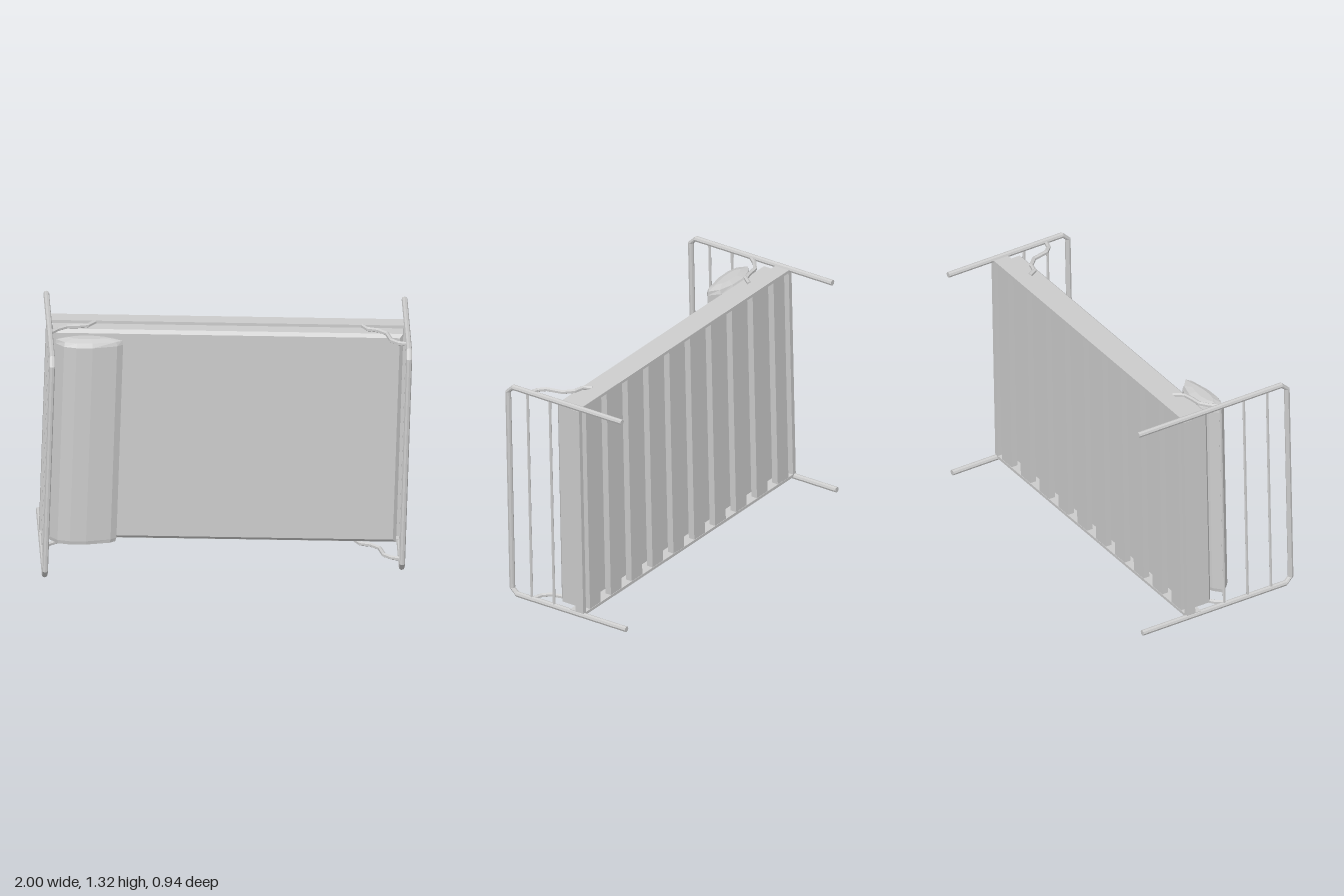
import * as THREE from 'three';

const metal = new THREE.MeshStandardMaterial({ color: 0xcccccc, flatShading: true });
metal.name = 'plain grey';

// Polyline whose corners become mitred tube rings
class Polyline extends THREE.Curve {
  constructor(points) { super(); this.points = points; }
  getPoint(t, target = new THREE.Vector3()) {
    const n = this.points.length - 1;
    const i = Math.min(Math.floor(t * n), n - 1);
    return target.lerpVectors(this.points[i], this.points[i + 1], t * n - i);
  }
  getPointAt(t, target) { return this.getPoint(t, target); }
  getTangentAt(t, target) { return this.getTangent(t, target); }
}

const vec = (p) => new THREE.Vector3(...p);

function addMesh(parent, name, geometry) {
  const mesh = new THREE.Mesh(geometry, metal);
  mesh.name = name;
  parent.add(mesh);
  return mesh;
}

function addBox(parent, name, size, pos) {
  addMesh(parent, name, new THREE.BoxGeometry(...size)).position.set(...pos);
}

// Bent pipe with closed ends
function addPipe(parent, name, points, radius, sides = 8) {
  const pts = points.map(vec);
  addMesh(parent, name, new THREE.TubeGeometry(new Polyline(pts), pts.length - 1, radius, sides));
  const n = pts.length - 1;
  for (const [end, before] of [[pts[0], pts[1]], [pts[n], pts[n - 1]]]) {
    const cap = addMesh(parent, name + 'Cap', new THREE.CircleGeometry(radius, sides));
    cap.position.copy(end);
    cap.quaternion.setFromUnitVectors(new THREE.Vector3(0, 0, 1), end.clone().sub(before).normalize());
  }
}

// Skin over counter-clockwise rings stacked along +z, capped at both ends
function loft(rings) {
  const n = rings[0].length, index = [];
  for (let k = 0; k < rings.length - 1; k++) {
    for (let i = 0; i < n; i++) {
      const a = k * n + i, b = k * n + (i + 1) % n;
      index.push(a, b, b + n, a, b + n, a + n);
    }
  }
  const last = (rings.length - 1) * n;
  for (let i = 1; i < n - 1; i++) index.push(0, i + 1, i, last, last + i, last + i + 1);
  const geometry = new THREE.BufferGeometry();
  geometry.setAttribute('position', new THREE.Float32BufferAttribute(rings.flat(2), 3));
  geometry.setIndex(index);
  geometry.computeVertexNormals();
  return geometry;
}

// End frame: two legs joined by a hoop with cut corners, and thin cross bars
function addEndFrame(parent, name, x, top, bars) {
  const group = new THREE.Group();
  group.name = name;
  const h = 0.616, c = 0.033;
  const half = [[x, h, -0.425], [x, h, top - c], [x, h - c, top]];
  const other = half.map(([px, py, pz]) => [px, -py, pz]).reverse();
  addPipe(group, 'hoopAndLegs', [...half, ...other], 0.0155);
  for (const z of bars) addPipe(group, 'crossBar', [[x, h, z], [x, -h, z]], 0.008, 6);
  parent.add(group);
}

export function createModel() {
  const model = new THREE.Group();
  model.name = 'bed';
  // The bed lies on its side: length on x, width on y, its upper side towards +z
  const bed = new THREE.Group();
  bed.name = 'tippedBed';
  bed.position.set(0, 0.661, 0);
  bed.rotation.set(0, -0.047, -0.032);
  model.add(bed);

  addEndFrame(bed, 'headFrame', -0.943, 0.496, [0.374, 0.229, 0.084]);
  addEndFrame(bed, 'footFrame', 0.943, 0.316, [0.19, 0.045]);

  // Bed base
  for (const s of [-1, 1]) {
    addBox(bed, 'sideRail', [1.9, 0.016, 0.088], [0, s * 0.608, -0.107]);
    addBox(bed, 'endRail', [0.025, 1.2, 0.05], [s * 0.94, 0, -0.126]);
  }
  for (let i = 0; i < 10; i++) {
    addBox(bed, 'slat', [0.095, 1.2, 0.036], [(i - 4.5) * 0.187, 0, -0.131]);
  }

  // Curved braces between the legs and the side rails
  const headBrace = [[-0.94, 0.1], [-0.9, 0.05], [-0.85, 0.012], [-0.79, 0.004], [-0.74, -0.008], [-0.7, -0.06]];
  const footBrace = [[0.94, 0.18], [0.89, 0.165], [0.855, 0.13], [0.835, 0.04], [0.79, -0.005], [0.735, -0.02], [0.71, -0.065]];
  for (const s of [-1, 1]) {
    for (const [name, path] of [['headBrace', headBrace], ['footBrace', footBrace]]) {
      addPipe(bed, name, path.map(([x, z]) => [x, s * 0.611, z]), 0.012, 6);
    }
  }

  // Mattress with a softened upper edge, set slightly towards one side
  const slab = (inset, z) => {
    const a = 0.922 - inset, low = inset - 0.587, high = 0.597 - inset;
    return [[-a, low, z], [a, low, z], [a, high, z], [-a, high, z]];
  };
  addMesh(bed, 'mattress', loft([slab(0.008, -0.106), slab(0, -0.09), slab(0, 0.005), slab(0.018, 0.022)]));

  // Pillow: one flattened section, gently domed at one end
  const section = [[-0.175, 0], [-0.13, 0.052], [-0.065, 0.068], [0.02, 0.066], [0.15, 0.033],
    [0.182, 0.008], [0.13, -0.042], [0.045, -0.068], [-0.055, -0.07], [-0.13, -0.04]];
  const ring = ([along, sx, sy]) => section.map(([x, y]) => [x * sx, -y * sy, along]);
  const stations = [[-0.57, 0.97, 0.94], [-0.55, 1, 1], [0.55, 1, 1], [0.572, 0.97, 0.8], [0.585, 0.6, 0.35]];
  const pillow = addMesh(bed, 'pillow', loft(stations.map(ring)).rotateX(-Math.PI / 2));
  pillow.position.set(-0.737, 0.003, 0.1);

  return model;
}
